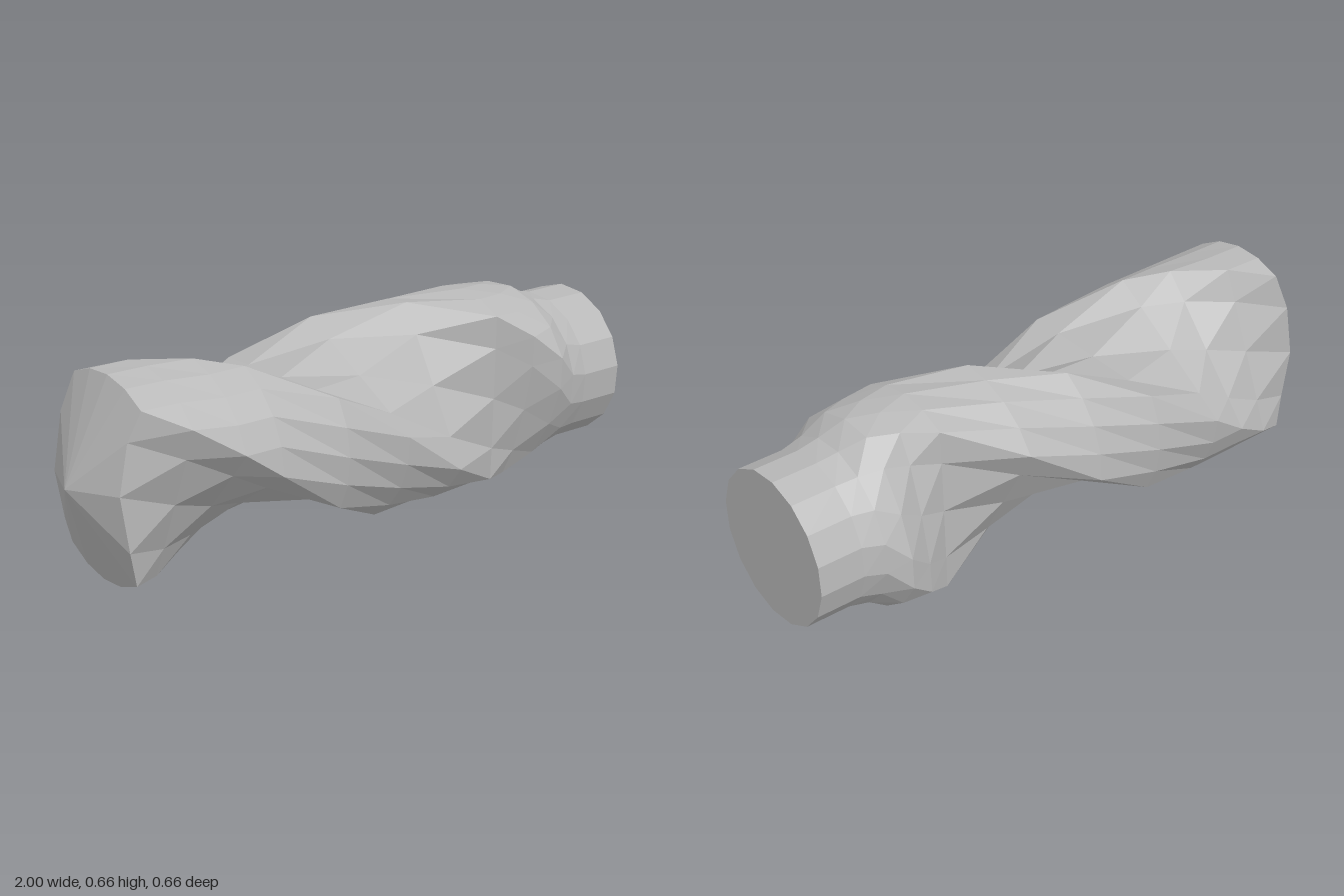
import * as THREE from 'three';

const RADIUS = 0.328;
const WAIST = 0.175; // half thickness across the flutes
const TWIST = -128.6; // degrees per unit of length
const deg = THREE.MathUtils.degToRad;

// One half of the two-lobed section: rounded land, then a flat flute.
const half = [];
for (const a of [-32, -16, 0, 16, 32]) half.push([a, RADIUS]);
for (const s of [0.17, 0, -0.17]) half.push([90 - Math.atan2(s, WAIST) * 180 / Math.PI, Math.hypot(s, WAIST)]);
const section = [...half, ...half.map(([a, r]) => [a + 180, r])];

// Ring at x, with land radius r; t blends the section into a plain circle.
function ring(x, r, t, tip = false) {
  return section.map(([a, rad], j) => {
    const rr = THREE.MathUtils.lerp(rad * r / RADIUS, r, t);
    const px = tip ? -1 + 0.14 * rad / RADIUS : x;
    const even = -45 + j * 22.5;
    const ang = deg(THREE.MathUtils.lerp(a, even, t) + TWIST * (Math.min(px, 0.8) + 0.2));
    return new THREE.Vector3(px, RADIUS + rr * Math.sin(ang), rr * Math.cos(ang));
  });
}

// Faceted skin through the rings, with optional end points to close it.
function loft(rings, startPoint, endPoint) {
  const pts = [];
  const n = section.length;
  for (let j = 0; j < n; j++) {
    const k = (j + 1) % n;
    for (let i = 0; i < rings.length - 1; i++) {
      const a = rings[i], b = rings[i + 1];
      pts.push(a[j], b[j], b[k], a[j], b[k], a[k]);
    }
    const last = rings[rings.length - 1];
    if (startPoint) pts.push(startPoint, rings[0][j], rings[0][k]);
    if (endPoint) pts.push(endPoint, last[k], last[j]);
  }
  const geo = new THREE.BufferGeometry().setFromPoints(pts);
  geo.computeVertexNormals();
  return geo;
}

export function createModel() {
  const group = new THREE.Group();
  group.name = 'drillBit';
  const steel = new THREE.MeshStandardMaterial({ color: 0xb8b8b8 });
  steel.name = 'steel grey';
  const add = (name, geo) => {
    const mesh = new THREE.Mesh(geo, steel);
    mesh.name = name;
    group.add(mesh);
  };

  // Twisted cutting body with its conical point
  const body = [ring(0, RADIUS, 0, true)];
  for (const x of [-0.73, -0.58, -0.455, -0.21, 0.025, 0.27, 0.51]) body.push(ring(x, RADIUS, 0));
  add('flutedBody', loft(body, new THREE.Vector3(-1, RADIUS, 0)));

  // Flutes run out into the neck
  const neck = [
    [0.51, RADIUS, 0], [0.615, 0.32, 0.3], [0.705, 0.31, 0.66], [0.78, 0.266, 0.95], [0.85, 0.25, 1],
  ].map((p) => ring(...p));
  add('neck', loft(neck));

  // Plain round shank
  add('shank', loft([ring(0.85, 0.25, 1), ring(1, 0.25, 1)], null, new THREE.Vector3(1, RADIUS, 0)));
  return group;
}
